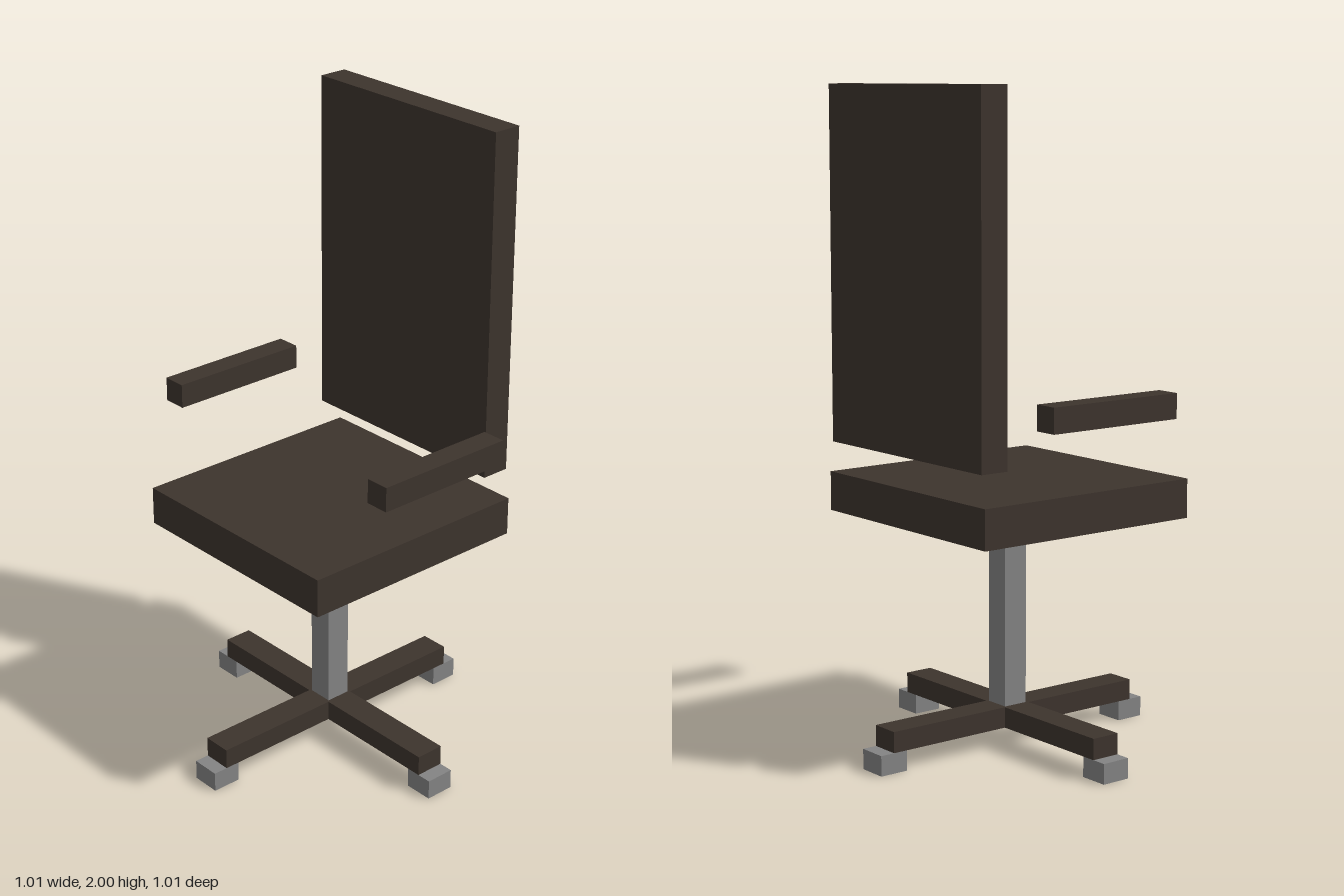
import * as THREE from 'three';

export function createModel() {
  const model = new THREE.Group();
  model.name = 'officeChair';

  const brown = new THREE.MeshStandardMaterial({ color: 0x3d342d });
  brown.name = 'dark brown';
  const grey = new THREE.MeshStandardMaterial({ color: 0x848484 });
  grey.name = 'grey metal';

  // Box given by its size and centre
  const box = (name, material, [w, h, d], [x, y, z]) => {
    const mesh = new THREE.Mesh(new THREE.BoxGeometry(w, h, d), material);
    mesh.name = name;
    mesh.position.set(x, y, z);
    model.add(mesh);
  };

  // Seat and backrest
  box('seat', brown, [0.766, 0.12, 0.766], [0, 0.772, 0]);
  box('backrest', brown, [0.736, 1.074, 0.092], [0, 1.463, -0.337]);

  // Floating armrests
  for (const side of [1, -1]) {
    box(side > 0 ? 'leftArmrest' : 'rightArmrest', brown, [0.076, 0.076, 0.46], [side * 0.46, 1.079, 0]);
  }

  // Central column
  box('column', grey, [0.08, 0.588, 0.08], [0, 0.42, 0]);

  // Cross base: one full bar and two half bars butted against it
  box('baseBar', brown, [0.92, 0.064, 0.092], [0, 0.094, 0]);
  for (const side of [1, -1]) {
    box('baseLeg', brown, [0.092, 0.064, 0.414], [0, 0.094, side * 0.253]);
  }

  // Foot block under each end of the cross
  for (let i = 0; i < 4; i++) {
    const a = (i * Math.PI) / 2;
    box('foot', grey, [0.092, 0.062, 0.092], [0.46 * Math.cos(a), 0.031, 0.46 * Math.sin(a)]);
  }

  return model;
}
